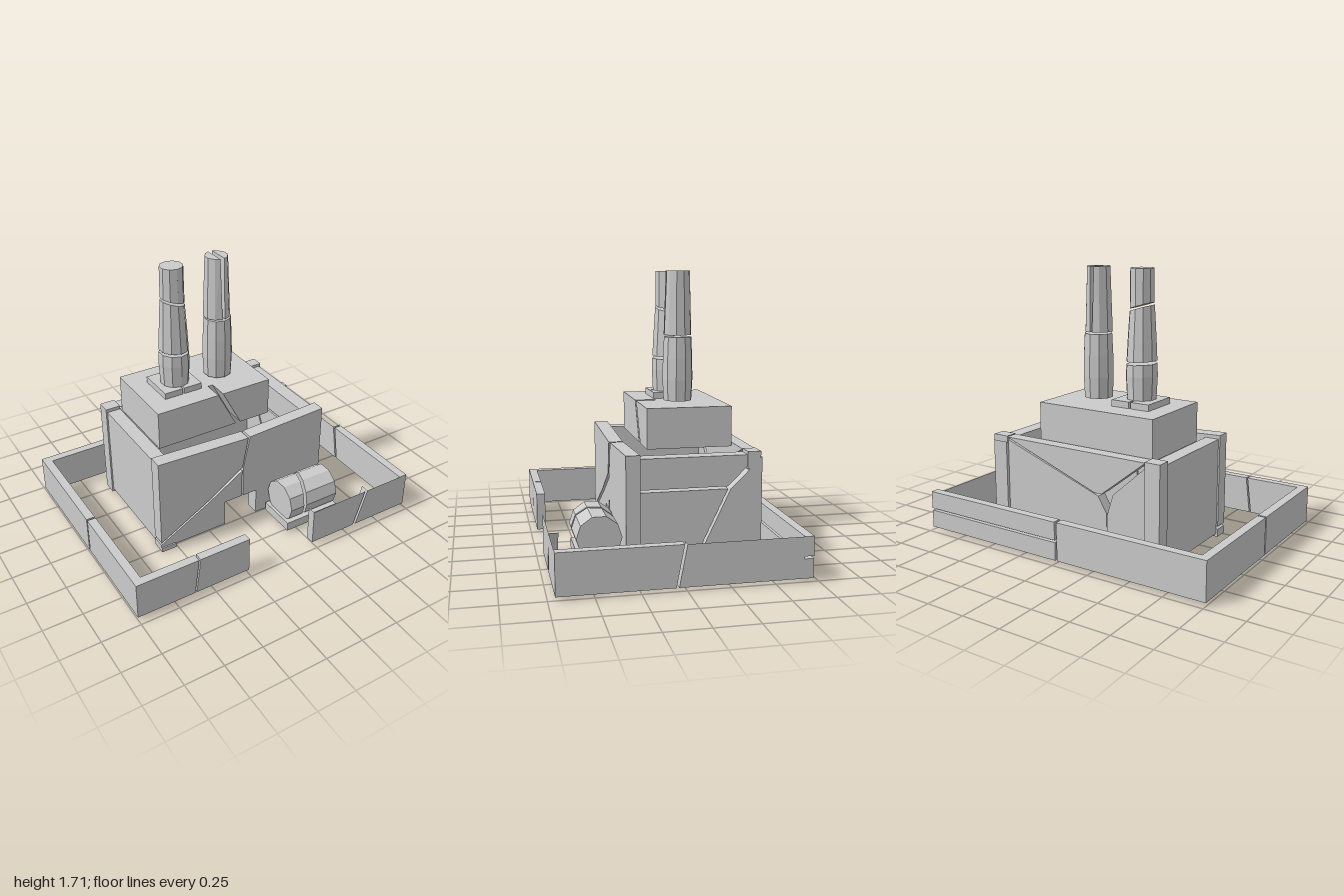
import * as THREE from 'three';
import { ConvexGeometry } from 'three/addons/geometries/ConvexGeometry.js';

const material = new THREE.MeshStandardMaterial({ color: 0xcccccc, flatShading: true });

export function createModel() {
  const model = new THREE.Group();

  const add = (name, geometry) => {
    const mesh = new THREE.Mesh(geometry, material);
    mesh.name = name;
    model.add(mesh);
    return mesh;
  };

  const extrude = (points, depth) => new THREE.ExtrudeGeometry(
    new THREE.Shape(points.map(([a, b]) => new THREE.Vector2(a, b))), { depth, bevelEnabled: false });

  // Outline in x, y with thickness along z
  const slabZ = (name, points, z0, z1) => add(name, extrude(points, z1 - z0).translate(0, 0, z0));

  // Outline in z, y with thickness along x
  const slabX = (name, points, x0, x1) =>
    add(name, extrude(points, x1 - x0).rotateY(-Math.PI / 2).translate(x1, 0, 0));

  const box = (name, x0, x1, y0, y1, z0, z1) => add(name,
    new THREE.BoxGeometry(x1 - x0, y1 - y0, z1 - z0).translate((x0 + x1) / 2, (y0 + y1) / 2, (z0 + z1) / 2));

  // Four-sided wall piece with slanted ends: bottom span, then top span
  const piece = (b0, b1, t0, t1, y0 = 0.02, y1 = 0.26) => [[b0, y0], [b1, y0], [t1, y1], [t0, y1]];

  // Drops the upward faces of a broken, hollow wall piece
  const openTop = (mesh) => {
    const { position, normal } = mesh.geometry.attributes;
    const kept = [];
    for (let i = 0; i < position.count; i += 3) {
      if (normal.getY(i) > 0.9) continue;
      for (let k = i; k < i + 3; k++) kept.push(position.getX(k), position.getY(k), position.getZ(k));
    }
    mesh.geometry = new THREE.BufferGeometry();
    mesh.geometry.setAttribute('position', new THREE.Float32BufferAttribute(kept, 3));
    mesh.geometry.computeVertexNormals();
  };

  // Perimeter wall, front, either side of the gate
  slabZ('frontPerimeterWall', piece(-0.945, -0.62, -0.945, -0.59), 0.655, 0.71);
  slabZ('frontPerimeterWall', piece(-0.61, -0.24, -0.58, -0.24), 0.655, 0.71);
  openTop(slabZ('frontPerimeterWall', piece(0.24, 0.57, 0.24, 0.65), 0.655, 0.71));
  openTop(slabZ('frontPerimeterWall', piece(0.59, 0.945, 0.67, 0.945), 0.655, 0.71));

  // Perimeter wall, back, one half split along its length
  slabZ('backPerimeterWall', piece(-1, -0.015, -1, -0.01), -0.72, -0.665);
  slabZ('backPerimeterWall', piece(0, 1, 0, 1, 0.02, 0.133), -0.72, -0.665);
  slabZ('backPerimeterWall', piece(0, 1, 0.005, 1, 0.147, 0.26), -0.72, -0.665);

  // Perimeter wall, sides
  slabX('rightPerimeterWall', piece(-0.665, 0.03, -0.665, 0.03), -1, -0.945);
  slabX('rightPerimeterWall', piece(0.042, 0.71, 0.042, 0.71), -1, -0.945);
  slabX('leftPerimeterWall', piece(0.06, 0.71, 0.015, 0.71), 0.945, 1);
  openTop(slabX('leftPerimeterWall', piece(-0.665, 0.045, -0.665, 0), 0.945, 1));

  // Main hall front wall, cracked into three around the doorway
  slabZ('hallFrontWall', [[-0.61, 0.07], [-0.27, 0.262], [-0.01, 0.435], [0.03, 0.642], [-0.61, 0.67]], 0.18, 0.27);
  slabZ('hallFrontWall', [[-0.61, 0.02], [-0.14, 0.02], [-0.14, 0.2], [-0.01, 0.2], [-0.01, 0.4],
    [-0.25, 0.25], [-0.61, 0.05]], 0.18, 0.265);
  slabZ('hallFrontWall', [[0.1, 0.02], [0.61, 0.005], [0.61, 0.67], [0.045, 0.642], [0, 0.43],
    [0, 0.2], [0.1, 0.2]], 0.18, 0.265);

  // Main hall side walls; the left one is cracked lengthwise and diagonally
  slabX('hallRightWall', piece(-0.46, 0.18, -0.46, 0.18, 0.02, 0.645), -0.6, -0.51);
  slabX('hallLeftWall', [[-0.345, 0.462], [0.18, 0.462], [0.18, 0.645], [-0.53, 0.645]], 0.5, 0.595);
  slabX('hallLeftWall', [[-0.14, 0.02], [0.18, 0.02], [0.18, 0.447], [-0.345, 0.447]], 0.5, 0.595);
  slabX('hallLeftWall', [[-0.55, 0.01], [-0.155, 0.02], [-0.36, 0.447], [-0.55, 0.63]], 0.5, 0.6);

  // Main hall back wall, broken into panels meeting at a hole
  slabZ('hallBackWall', [[0.5, 0.66], [-0.51, 0.66], [-0.21, 0.42], [-0.16, 0.42]], -0.54, -0.46);
  slabZ('hallBackWall', [[0.5, 0.02], [0.5, 0.64], [-0.18, 0.4], [-0.24, 0.3], [-0.24, 0.02]], -0.53, -0.46);
  slabZ('hallBackWall', [[-0.25, 0.02], [-0.25, 0.3], [-0.29, 0.43], [-0.51, 0.63], [-0.51, 0.02]], -0.54, -0.46);

  // Corner posts
  box('backCornerPost', -0.61, -0.51, 0, 0.668, -0.55, -0.46);
  box('backCornerPost', 0.5, 0.605, 0.56, 0.665, -0.54, -0.46);
  box('frontCornerFoot', -0.61, -0.51, 0, 0.03, 0.18, 0.275);

  // Upper block with a crack running down its front
  box('upperBlock', -0.5, 0.305, 0.64, 0.89, -0.45, -0.05);
  slabZ('upperBlock', piece(-0.5, 0.055, -0.5, -0.075, 0.64, 0.89), -0.05, 0.08);
  slabZ('upperBlock', piece(0.09, 0.305, -0.04, 0.305, 0.64, 0.89), -0.05, 0.08);

  // Split plinth under one chimney
  box('chimneyPlinth', -0.38, -0.256, 0.89, 0.93, -0.3, -0.05);
  box('chimneyPlinth', -0.244, -0.12, 0.89, 0.93, -0.3, -0.05);

  // Chimney radius against height
  const profile = [[0.9, 0.09], [1.08, 0.099], [1.3, 0.088], [1.5, 0.075], [1.72, 0.073]];
  const radiusAt = (y) => {
    const i = Math.max(1, profile.findIndex(([h]) => h >= y));
    const [[y0, r0], [y1, r1]] = [profile[i - 1], profile[i]];
    return THREE.MathUtils.mapLinear(y, y0, y1, r0, r1);
  };

  // Chimney section whose ends may be tilted planes
  const chimneySection = (x, bottom, top, bottomTilt = 0, topTilt = 0) => {
    const geometry = new THREE.CylinderGeometry(1, 1, 1, 10, 3);
    const p = geometry.attributes.position;
    for (let i = 0; i < p.count; i++) {
      const t = p.getY(i) + 0.5;
      const r = radiusAt(THREE.MathUtils.lerp(bottom, top, t));
      const px = p.getX(i) * r;
      p.setXYZ(i, px, THREE.MathUtils.lerp(bottom + bottomTilt * px, top + topTilt * px, t), p.getZ(i) * r);
    }
    geometry.computeVertexNormals();
    add('chimney', geometry.translate(x, 0, -0.165));
  };
  chimneySection(-0.25, 0.93, 1.143, 0, -0.06);
  chimneySection(-0.25, 1.16, 1.475, -0.06, -0.3);
  chimneySection(-0.25, 1.49, 1.71, -0.3, 0);
  chimneySection(0.065, 0.905, 1.303);

  // Split top of the second chimney: two leaning halves
  for (const side of [-1, 1]) {
    const points = [];
    for (const [y, gap] of [[1.315, 0.008], [1.71, 0.014]]) {
      for (let i = 0; i <= 5; i++) {
        const a = -Math.PI / 2 + (i * Math.PI) / 5;
        const r = radiusAt(y);
        points.push(new THREE.Vector3(
          0.06 + side * Math.max(gap, r * Math.cos(a)), y, -0.165 + r * Math.sin(a)));
      }
    }
    add('splitChimneyTop', new ConvexGeometry(points));
  }

  // Lying tank, cracked across, on its slab
  box('tankSlab', 0.17, 0.565, 0.02, 0.08, 0.28, 0.535);
  const tankPart = (x0, x1, tilt0, tilt1) => {
    const geometry = new THREE.CylinderGeometry(0.135, 0.135, 1, 10).rotateZ(-Math.PI / 2);
    const p = geometry.attributes.position;
    for (let i = 0; i < p.count; i++) {
      const z = p.getZ(i);
      p.setX(i, p.getX(i) < 0 ? x0 + tilt0 * z : x1 + tilt1 * z);
    }
    geometry.computeVertexNormals();
    add('tank', geometry.translate(0, 0.18, 0.41));
  };
  tankPart(0.19, 0.33, 0, -0.3);
  tankPart(0.35, 0.55, -0.3, 0);

  return model;
}
